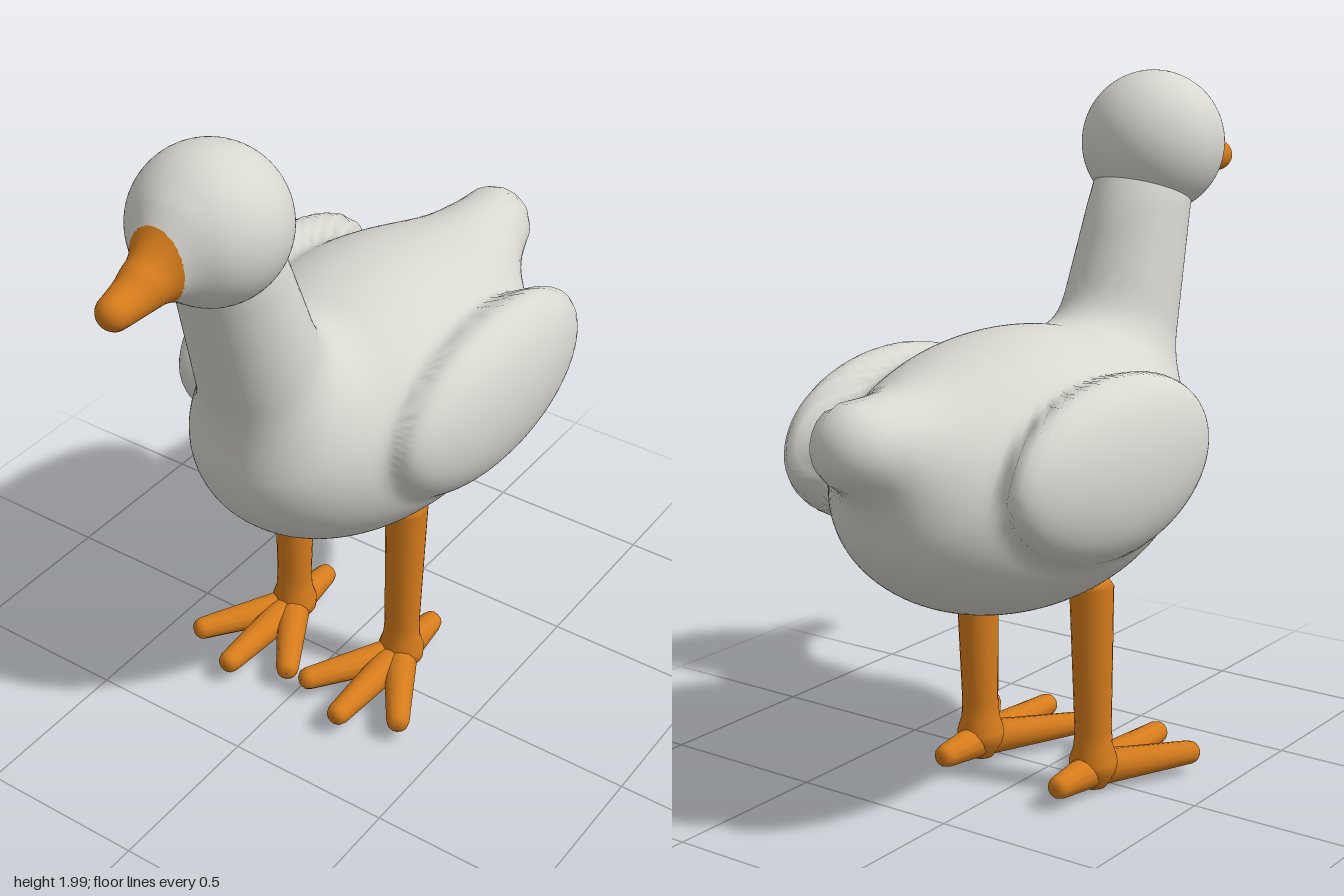
import * as THREE from 'three';

const V = (x, y, z) => new THREE.Vector3(x, y, z);

// Distance fields: soft shapes that melt into each other
const blend = (a, b, k) => {
  const h = Math.max(k - Math.abs(a - b), 0) / k;
  return Math.min(a, b) - h * h * k / 4;
};
const ellipsoid = (c, r) => (p) => {
  const x = (p.x - c.x) / r.x, y = (p.y - c.y) / r.y, z = (p.z - c.z) / r.z;
  const k0 = Math.hypot(x, y, z), k1 = Math.hypot(x / r.x, y / r.y, z / r.z);
  return k1 < 1e-6 ? -Math.min(r.x, r.y, r.z) : k0 * (k0 - 1) / k1;
};
const taper = (a, ra, b, rb) => {
  const d = b.clone().sub(a), l2 = d.lengthSq();
  return (p) => {
    const px = p.x - a.x, py = p.y - a.y, pz = p.z - a.z;
    const t = THREE.MathUtils.clamp((px * d.x + py * d.y + pz * d.z) / l2, 0, 1);
    return Math.hypot(px - d.x * t, py - d.y * t, pz - d.z * t) - ra - (rb - ra) * t;
  };
};

// Moves every vertex of a unit sphere along its ray onto the outer surface of a field
function wrap(geometry, centre, field, reach) {
  const pos = geometry.attributes.position, nor = geometry.attributes.normal;
  const dir = V(0, 0, 0), p = V(0, 0, 0), q = V(0, 0, 0), n = V(0, 0, 0);
  const at = (r) => field(p.copy(dir).multiplyScalar(r).add(centre));
  const e = 0.002;
  for (let i = 0; i < pos.count; i++) {
    dir.fromBufferAttribute(pos, i).normalize();
    let r = reach;
    while (r > 0.01 && at(r) > 0) r -= 0.01;
    let lo = r, hi = r + 0.01;
    for (let s = 0; s < 14; s++) {
      const mid = (lo + hi) / 2;
      if (at(mid) > 0) hi = mid; else lo = mid;
    }
    at(lo);
    pos.setXYZ(i, p.x, p.y, p.z);
    const slope = (axis) => {
      const plus = field(q.copy(p).addScaledVector(axis, e));
      return plus - field(q.copy(p).addScaledVector(axis, -e));
    };
    n.set(slope(V(1, 0, 0)), slope(V(0, 1, 0)), slope(V(0, 0, 1))).normalize();
    nor.setXYZ(i, n.x, n.y, n.z);
  }
  return geometry;
}

// Body, tail, neck and folded wings as one soft form
const trunk = ellipsoid(V(0, 0.95, -0.16), V(0.41, 0.39, 0.63));
const tail = taper(V(0, 1.03, -0.5), 0.25, V(0, 1.14, -0.83), 0.12);
const neck = taper(V(0, 1.05, 0.28), 0.19, V(0, 1.65, 0.475), 0.147);
const wing = ellipsoid(V(0.37, 1.02, -0.23), V(0.125, 0.245, 0.445));
const mirrored = V(0, 0, 0);
const bodyField = (p) => {
  const core = blend(blend(trunk(p), tail(p), 0.07), neck(p), 0.14);
  return blend(core, wing(mirrored.set(Math.abs(p.x), p.y, p.z)), 0.06);
};

// Head flowing into the bill
const skull = ellipsoid(V(0, 1.79, 0.535), V(0.21, 0.21, 0.21));
const bill = taper(V(0, 1.755, 0.68), 0.08, V(0, 1.722, 0.903), 0.047);
const bridge = taper(V(0, 1.83, 0.66), 0.075, V(0, 1.765, 0.79), 0.045);
const headField = (p) => blend(skull(p), blend(bill(p), bridge(p), 0.04), 0.06);

// Splits a geometry into the faces in front of and behind a z plane
function splitAt(geometry, z) {
  const pos = geometry.attributes.position, idx = geometry.index.array;
  const front = [], back = [];
  for (let i = 0; i < idx.length; i += 3) {
    const f = [idx[i], idx[i + 1], idx[i + 2]];
    const mid = (pos.getZ(f[0]) + pos.getZ(f[1]) + pos.getZ(f[2])) / 3;
    (mid > z ? front : back).push(...f);
  }
  return [front, back].map((list) => {
    const g = geometry.clone();
    g.setIndex(list);
    return g;
  });
}

// Blunt tapered toe from one point to another
function toeGeometry(from, to, r0, r1) {
  const axis = to.clone().sub(from), l = axis.length();
  const profile = [[0.001, 0], [r0, 0], [r1, l - 0.025], [r1 * 0.85, l - 0.01], [r1 * 0.5, l], [0.001, l]];
  const g = new THREE.LatheGeometry(profile.map(([x, y]) => new THREE.Vector2(x, y)), 12);
  g.applyQuaternion(new THREE.Quaternion().setFromUnitVectors(V(0, 1, 0), axis.normalize()));
  return g.translate(from.x, from.y, from.z);
}

export function createModel() {
  const goose = new THREE.Group();
  goose.name = 'goose';
  const plumage = new THREE.MeshStandardMaterial({ color: 0xd8d7d0 });
  plumage.name = 'plumage';
  const orange = new THREE.MeshStandardMaterial({ color: 0xd67c1c });
  orange.name = 'orange';
  const add = (parent, name, geometry, material) => {
    const m = new THREE.Mesh(geometry, material);
    m.name = name;
    parent.add(m);
    return m;
  };

  // Body
  const bodyBase = new THREE.SphereGeometry(1, 160, 120).rotateX(0.52);
  add(goose, 'body', wrap(bodyBase, V(0, 1, 0.1), bodyField, 1.25), plumage);

  // Head and bill
  const headBase = new THREE.SphereGeometry(1, 64, 128).rotateX(Math.PI / 2);
  const headShape = wrap(headBase, V(0, 1.77, 0.6), headField, 0.5);
  const [billFaces, headFaces] = splitAt(headShape, 0.743);
  add(goose, 'head', headFaces, plumage);
  add(goose, 'bill', billFaces, orange);

  // Legs and feet
  for (const side of [1, -1]) {
    const leg = new THREE.Group();
    leg.name = side > 0 ? 'leftLeg' : 'rightLeg';
    leg.position.set(side * 0.2, 0, -0.06);
    goose.add(leg);

    const shank = [[0.001, 0.01], [0.035, 0.02], [0.068, 0.07], [0.07, 0.1], [0.056, 0.145],
      [0.053, 0.2], [0.063, 0.62], [0.05, 0.64], [0.001, 0.642]];
    const shankShape = new THREE.LatheGeometry(shank.map(([x, y]) => new THREE.Vector2(x, y)), 20);
    // Lean the shank slightly back
    const pos = shankShape.attributes.position;
    for (let i = 0; i < pos.count; i++) pos.setZ(i, pos.getZ(i) - pos.getY(i) * 0.025);
    add(leg, 'shank', shankShape, orange);

    const root = V(0, 0.073, 0);
    const tips = { middleToe: [0, 0.36], outerToe: [0.175, 0.28], innerToe: [-0.175, 0.28], backToe: [0, -0.197] };
    for (const [name, [x, z]] of Object.entries(tips)) {
      add(leg, name, toeGeometry(root, V(x * side, 0.073, z), 0.053, 0.034), orange);
    }
  }
  return goose;
}
